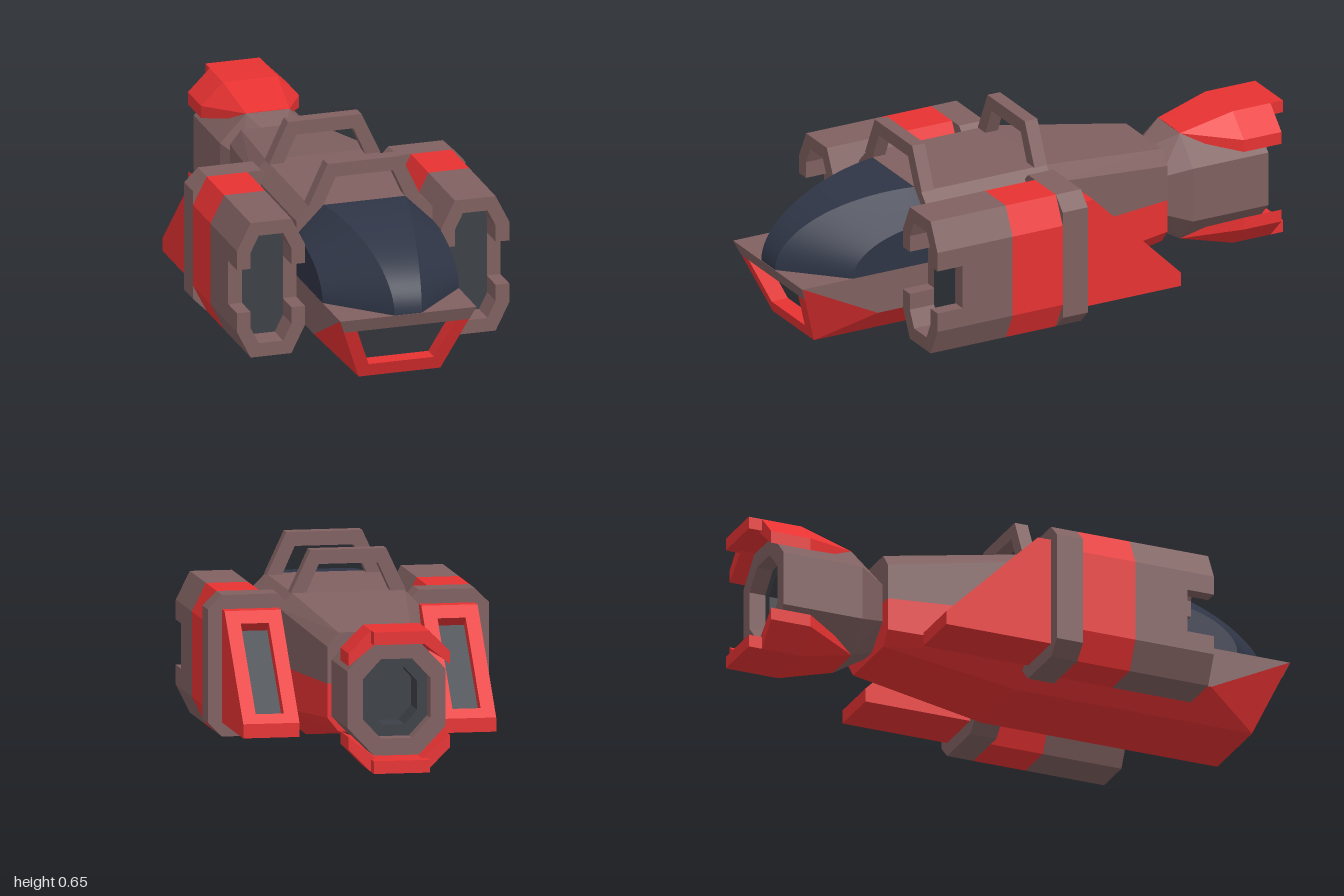
import * as THREE from 'three';
import { toCreasedNormals } from 'three/addons/utils/BufferGeometryUtils.js';

const material = (color, flatShading = true) => new THREE.MeshStandardMaterial({ color, flatShading });
const BROWN = material(0x806060), RED = material(0xe83232), DARK = material(0x3c4046);
const GLASS = material(0x2f3546, false);

function add(parent, name, geometry, mat) {
  const mesh = new THREE.Mesh(geometry, mat);
  mesh.name = name;
  parent.add(mesh);
  return mesh;
}

function group(parent, name) {
  const g = new THREE.Group();
  g.name = name;
  parent.add(g);
  return g;
}

// Skin through closed rings of [x, y, z], each counter-clockwise seen from +z, running toward +z.
function loft(rings, capStart = true, capEnd = true) {
  const out = [];
  const vec = p => new THREE.Vector3(...p);
  const tri = (a, b, c) => {
    const area = vec(b).sub(vec(a)).cross(vec(c).sub(vec(a))).length();
    if (area > 1e-9) out.push(...a, ...b, ...c);
  };
  for (let k = 0; k < rings.length - 1; k++) {
    const n = rings[k].length;
    for (let i = 0; i < n; i++) {
      const j = (i + 1) % n;
      const a = rings[k][i], b = rings[k][j], c = rings[k + 1][j], d = rings[k + 1][i];
      // split along the shorter diagonal so both halves stay mirrored
      if (vec(a).distanceTo(vec(c)) < vec(b).distanceTo(vec(d))) { tri(a, b, c); tri(a, c, d); }
      else { tri(a, b, d); tri(b, c, d); }
    }
  }
  const cap = (ring, flip) => {
    const faces = THREE.ShapeUtils.triangulateShape(ring.map(p => new THREE.Vector2(p[0], p[1])), []);
    for (const [a, b, c] of faces) flip ? tri(ring[a], ring[c], ring[b]) : tri(ring[a], ring[b], ring[c]);
  };
  if (capStart) cap(rings[0], true);
  if (capEnd) cap(rings[rings.length - 1], false);
  const geometry = new THREE.BufferGeometry();
  geometry.setAttribute('position', new THREE.Float32BufferAttribute(out, 3));
  geometry.computeVertexNormals();
  return geometry;
}

// Octagon: half width and height hw, hh; half lengths of its flat edges fx, fy
const octagon = (cx, cy, hw, hh, fx, fy, z) =>
  [[hw, -fy], [hw, fy], [fx, hh], [-fx, hh], [-hw, fy], [-hw, -fy], [-fx, -hh], [fx, -hh]]
    .map(([x, y]) => [cx + x, cy + y, z]);

// Symmetric ring from its right half, listed bottom to top
const mirrored = (half, z) =>
  [...half, ...half.map(([x, y]) => [-x, y]).reverse()].map(([x, y]) => [x, y, z]);

// Extrusion of an x-y outline from z0 to z1
function plate(points, z0, z1) {
  const shape = new THREE.Shape(points.map(p => new THREE.Vector2(...p)));
  return new THREE.ExtrudeGeometry(shape, { depth: z1 - z0, bevelEnabled: false }).translate(0, 0, z0);
}

// Extrusion of a z-y outline from x0 to x1
const sidePlate = (points, x0, x1) =>
  plate(points.map(([z, y]) => [-z, y]), 0, x1 - x0).rotateY(Math.PI / 2).translate(x0, 0, 0);

function buildFuselage(parent) {
  const g = group(parent, 'fuselage');
  const upper = [[0.25, 0.1], [0.25, 0.45], [0.2, 0.5]];
  add(g, 'cabin', loft([mirrored(upper, 0), mirrored(upper, 0.5)]), BROWN);
  add(g, 'noseDeck', sidePlate([[0.5, 0.1], [0.7, 0.1], [1, 0.25], [0.5, 0.25]], -0.25, 0.25), BROWN);

  // Red keel ending in a sloping nose frame with a sunken window
  const keel = z => [[-0.25, 0.1, z], [-0.15, 0, z], [0.15, 0, z], [0.25, 0.1, z]];
  const sloped = (xTop, yTop, xLow, yLow, dz = 0) =>
    [[-xTop, yTop], [-xLow, yLow], [xLow, yLow], [xTop, yTop]].map(([x, y]) => [x, y, 0.9 + 0.4 * y + dz]);
  const floor = sloped(0.18, 0.2, 0.12, 0.05, -0.065);
  add(g, 'keel', loft([keel(0), keel(0.7), sloped(0.25, 0.25, 0.15, 0),
    sloped(0.18, 0.2, 0.12, 0.05), floor], true, false), RED);
  add(g, 'noseWindow', loft([floor.map(([x, y, z]) => [x, y, z - 0.005]), floor]), DARK);
  add(g, 'noseLip', loft([sloped(0.25, 0.25, 0.23, 0.2, -0.01), sloped(0.25, 0.25, 0.23, 0.2, 0.002)]), BROWN);

  // Tapering tail, brown above and red below
  add(g, 'tailTop', loft([
    mirrored([[0.17, 0.25], [0.17, 0.38], [0.13, 0.43]], -0.5),
    mirrored([[0.25, 0.25], [0.25, 0.45], [0.2, 0.5]], 0)]), BROWN);
  add(g, 'tailBottom', loft([
    mirrored([[0.13, 0.08], [0.17, 0.13], [0.17, 0.25]], -0.5),
    mirrored([[0.15, 0], [0.25, 0.1], [0.25, 0.25]], 0)]), RED);

  // Roof bars
  const bar = [[-0.205, 0.5], [-0.135, 0.65], [0.135, 0.65], [0.205, 0.5],
    [0.15, 0.5], [0.105, 0.6], [-0.105, 0.6], [-0.15, 0.5]];
  for (const z of [0, 0.45]) add(g, 'roofBar', plate(bar, z, z + 0.05), BROWN);
}

// Canopy: ridge and shoulder rails follow quarter ellipses down to the nose deck
function buildCanopy(parent) {
  const rings = [];
  for (let i = 0; i <= 20; i++) {
    const s = Math.sin(i / 20 * Math.PI / 2), c = Math.cos(i / 20 * Math.PI / 2);
    const half = [[0.25, 0.25, 0.5 + 0.3 * s], [0.25, 0.25 + 0.15 * c, 0.5 + 0.3 * s],
      [0.15 - 0.1 * s, 0.25 + 0.25 * c, 0.5 + 0.5 * s]];
    rings.push([...half, ...half.map(([x, y, z]) => [-x, y, z]).reverse()]);
  }
  add(parent, 'canopy', toCreasedNormals(loft(rings, true, false), 0.4), GLASS);
}

function buildPod(parent, name, side) {
  const g = group(parent, name);
  const body = z => octagon(0.375, 0.25, 0.125, 0.25, 0.075, 0.15, z);
  const opening = z => octagon(0.375, 0.25, 0.075, 0.2, 0.045, 0.14, z);
  add(g, 'podBody', loft([body(0.3), body(0.5)]), BROWN);
  add(g, 'podBand', loft([body(0.1), body(0.3)]), RED);
  add(g, 'intake', loft([opening(0.49), opening(0.503)]), DARK);
  add(g, 'podCollar', loft([octagon(0.35, 0.25, 0.15, 0.25, 0.1, 0.2, 0),
    octagon(0.35, 0.25, 0.15, 0.25, 0.1, 0.2, 0.1)]), BROWN);

  // Intake rim in two halves with a gap on both sides
  const rim = [[0.5, 0.33], [0.5, 0.4], [0.45, 0.5], [0.3, 0.5], [0.25, 0.4], [0.25, 0.33],
    [0.3, 0.33], [0.3, 0.39], [0.33, 0.45], [0.42, 0.45], [0.45, 0.39], [0.45, 0.33]];
  add(g, 'upperRim', plate(rim, 0.5, 0.6), BROWN);
  add(g, 'lowerRim', plate(rim.map(([x, y]) => [x, 0.5 - y]), 0.5, 0.6), BROWN);

  // Rear wedge with a sunken slot in its slope
  const wedge = [[0, 0.05], [-0.4, 0.05], [-0.4, 0.1], [-0.05, 0.45], [0, 0.45]];
  const slotted = [[0, 0.05], [-0.4, 0.05], [-0.4, 0.1], [-0.37, 0.13], [-0.335, 0.095],
    [-0.055, 0.375], [-0.09, 0.41], [-0.05, 0.45], [0, 0.45]];
  add(g, 'wedgeCheek', sidePlate(wedge, 0.25, 0.3), RED);
  add(g, 'wedgeCheek', sidePlate(wedge, 0.4, 0.45), RED);
  add(g, 'wedgeCore', sidePlate(slotted, 0.3, 0.4), RED);
  add(g, 'wedgeSlot', sidePlate([[-0.335, 0.095], [-0.055, 0.375], [-0.06, 0.38], [-0.34, 0.1]], 0.3, 0.4), DARK);
  g.scale.x = side;
}

// Engine, built facing +z about its own axis and turned to the rear
function buildEngine(parent) {
  const g = group(parent, 'engine');
  g.position.y = 0.25;
  g.rotation.y = Math.PI;
  const rim = octagon(0, 0, 0.12, 0.14, 0.055, 0.07, 0.9);
  const rimBack = octagon(0, 0, 0.12, 0.14, 0.055, 0.07, 0.84);
  add(g, 'nozzle', loft([
    octagon(0, 0, 0.125, 0.15, 0.03, 0.07, 0.49),
    octagon(0, 0, 0.125, 0.15, 0.03, 0.07, 0.5),
    octagon(0, 0, 0.175, 0.2, 0.08, 0.1, 0.6),
    octagon(0, 0, 0.175, 0.2, 0.08, 0.1, 0.9), rim, rimBack], true, false), BROWN);
  add(g, 'nozzleCore', loft([rimBack, octagon(0, 0, 0.085, 0.1, 0.04, 0.05, 0.84),
    octagon(0, 0, 0.085, 0.1, 0.04, 0.05, 0.72)], false, true), DARK);

  // Flaps above and below the nozzle
  const flap = (fx, top, ox, oy, t, z) => mirrored([[fx * 0.8, top - t], [ox, oy - t], [ox, oy], [fx, top]], z);
  for (const [name, turn] of [['upperFlap', 0], ['lowerFlap', Math.PI]]) {
    const f = group(g, name);
    f.rotation.z = turn;
    add(f, 'flapShell', loft([flap(0.04, 0.202, 0.08, 0.2, 0.02, 0.6),
      flap(0.1, 0.25, 0.18, 0.17, 0.045, 0.8), flap(0.1, 0.25, 0.18, 0.17, 0.045, 0.95)]), RED);
    add(f, 'flapTip', new THREE.BoxGeometry(0.2, 0.045, 0.05).translate(0, 0.2275, 0.975), RED);
  }
}

export function createModel() {
  const model = new THREE.Group();
  model.name = 'shuttle';
  buildFuselage(model);
  buildCanopy(model);
  buildPod(model, 'leftPod', 1);
  buildPod(model, 'rightPod', -1);
  buildEngine(model);
  return model;
}
